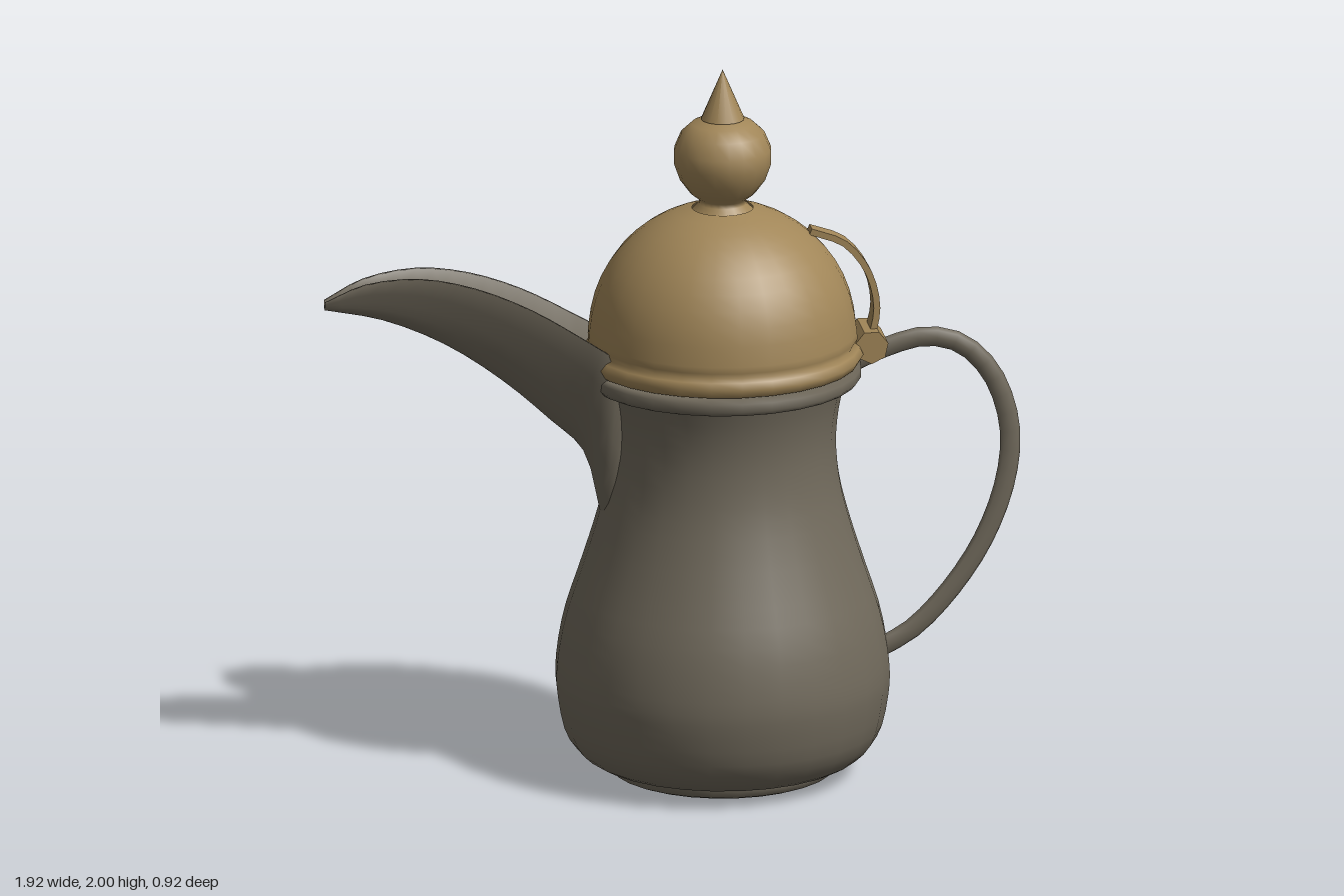
import * as THREE from 'three';

const pewter = new THREE.MeshStandardMaterial({ color: 0x716a5c, side: THREE.DoubleSide });
pewter.name = 'pewter';
const brass = new THREE.MeshStandardMaterial({ color: 0xa18658, side: THREE.DoubleSide });
brass.name = 'brass';

const AXIS = 0.14; // x of the pot's turning axis

function part(name, geometry, material, parent, x = 0, y = 0, z = 0) {
  const mesh = new THREE.Mesh(geometry, material);
  mesh.name = name;
  mesh.position.set(x, y, z);
  parent.add(mesh);
  return mesh;
}

const points = (list) => list.map(([a, b]) => new THREE.Vector2(a, b));
const curve3 = (list) => new THREE.CatmullRomCurve3(list.map((p) => new THREE.Vector3(...p)));

// Turned part; the profile is [radius, height] from bottom to top
const turned = (profile, sides = 28) => new THREE.LatheGeometry(points(profile), sides);

// Skin over a row of closed rings that all have the same number of points
function loft(rings) {
  const n = rings[0].length, index = [];
  for (let i = 0; i < rings.length - 1; i++) {
    for (let j = 0; j < n; j++) {
      const a = i * n + j, b = i * n + (j + 1) % n;
      index.push(a, b, a + n, b, b + n, a + n);
    }
  }
  for (const start of [0, (rings.length - 1) * n]) { // end caps
    for (let j = 0; j < n / 2 - 1; j++) {
      const a = start + j, b = a + 1, c = start + n - 1 - j, d = c - 1;
      if (start) index.push(a, b, c, b, d, c);
      else index.push(a, c, b, b, c, d);
    }
  }
  const g = new THREE.BufferGeometry();
  g.setAttribute('position', new THREE.Float32BufferAttribute(rings.flat(2), 3));
  g.setIndex(index);
  g.computeVertexNormals();
  return g;
}

// Open gutter with a keel: lip line above, keel line below, narrowing to the tip
function spoutGeometry() {
  const lip = curve3([[-0.13, 1.2, 0.13], [-0.19, 1.24, 0.155], [-0.27, 1.29, 0.14], [-0.4, 1.365, 0.115],
    [-0.55, 1.425, 0.088], [-0.7, 1.452, 0.062], [-0.85, 1.435, 0.036], [-0.96, 1.385, 0.014]]);
  const keel = curve3([[-0.17, 0.64, 0], [-0.2, 0.76, 0], [-0.245, 0.93, 0], [-0.335, 1.02, 0],
    [-0.47, 1.14, 0], [-0.63, 1.25, 0], [-0.8, 1.325, 0], [-0.96, 1.36, 0]]);
  const rings = [], steps = 21, half = 6;
  for (let i = 0; i <= steps; i++) {
    const a = lip.getPoint(i / steps), b = keel.getPoint(i / steps), ring = [];
    const wall = Math.min(0.014, a.z * 0.4), depth = a.distanceTo(b);
    for (const inner of [0, 1]) {
      for (let j = -half; j <= half; j++) {
        const t = (inner ? -j : j) / half, s = Math.abs(t);
        const drop = (1 - s ** 1.6) * (1 - inner * Math.min(0.4, 0.02 / depth));
        const z = Math.sign(t) * s ** 0.85 * (a.z - inner * wall);
        ring.push([a.x + (b.x - a.x) * drop, a.y + (b.y - a.y) * drop, z]);
      }
    }
    rings.push(ring);
  }
  return loft(rings);
}

// Flat curled strip that tapers towards its free end
function leverGeometry() {
  const path = curve3([[0.545, 1.22, 0], [0.562, 1.31, 0], [0.54, 1.41, 0], [0.475, 1.495, 0], [0.38, 1.533, 0]]);
  const rings = [];
  for (let i = 0; i <= 12; i++) {
    const p = path.getPoint(i / 12), d = path.getTangent(i / 12);
    const w = 0.036 - 0.012 * i / 12, h = 0.009;
    rings.push([[-1, -1], [-1, 1], [1, 1], [1, -1]].map(([u, v]) =>
      [p.x + d.y * h * u, p.y - d.x * h * u, w * v]));
  }
  return loft(rings);
}

export function createModel() {
  const pot = new THREE.Group();
  pot.name = 'coffeePot';

  // Pear-shaped body on a low foot, with a rolled rim
  const waist = new THREE.SplineCurve(points([[0.31, 0.035], [0.375, 0.055], [0.43, 0.12], [0.455, 0.23],
    [0.457, 0.32], [0.435, 0.45], [0.39, 0.59], [0.352, 0.71], [0.322, 0.83], [0.311, 0.95], [0.32, 1.05], [0.34, 1.13]]));
  const bodyProfile = [[0, 0.004], [0.285, 0.004], [0.305, 0.012], [0.31, 0.03],
    ...waist.getPoints(30).map((p) => [p.x, p.y])];
  part('body', turned(bodyProfile), pewter, pot, AXIS);
  part('rim', turned([[0.33, 1.122], [0.37, 1.12], [0.38, 1.132], [0.38, 1.155], [0.37, 1.167], [0, 1.167]]), pewter, pot, AXIS);

  part('spout', spoutGeometry(), pewter, pot);

  // Handle, flattened sideways
  const handlePath = curve3([[0.48, 1.14, 0], [0.58, 1.185, 0], [0.7, 1.215, 0], [0.8, 1.19, 0], [0.885, 1.1, 0],
    [0.933, 0.95, 0], [0.922, 0.8, 0], [0.86, 0.63, 0], [0.76, 0.48, 0], [0.66, 0.38, 0], [0.57, 0.33, 0]]);
  const handle = part('handle', new THREE.TubeGeometry(handlePath, 26, 0.028, 8), pewter, pot);
  handle.scale.z = 0.5;

  // Domed lid with a double bead at its edge
  const lidProfile = [[0, 1.167], [0.35, 1.167], [0.373, 1.172], [0.386, 1.195], [0.376, 1.215], [0.364, 1.225],
    [0.37, 1.24], [0.369, 1.258]];
  for (let i = 1; i <= 10; i++) {
    const a = 0.04 + (i / 10) * 1.3;
    lidProfile.push([0.367 * Math.cos(a), 1.25 + 0.367 * Math.sin(a)]);
  }
  part('lid', turned(lidProfile), brass, pot, AXIS);

  // Finial: flared neck, ball and pointed tip
  const finialProfile = [[0.085, 1.6], [0.066, 1.62], [0.064, 1.632], [0.09, 1.652], [0.118, 1.69], [0.134, 1.735],
    [0.134, 1.775], [0.115, 1.82], [0.085, 1.848], [0.04, 1.862]];
  part('finialBall', turned(finialProfile, 20), brass, pot, AXIS);
  part('finialTip', new THREE.ConeGeometry(0.06, 0.14, 16), brass, pot, AXIS, 1.93);

  // Hinge barrel and thumb lever
  const hinge = new THREE.CylinderGeometry(0.047, 0.047, 0.142, 7).toNonIndexed();
  hinge.rotateX(Math.PI / 2);
  hinge.computeVertexNormals();
  part('hinge', hinge, brass, pot, 0.542, 1.21);
  const lever = leverGeometry().toNonIndexed();
  lever.computeVertexNormals();
  part('thumbLever', lever, brass, pot);

  return pot;
}
